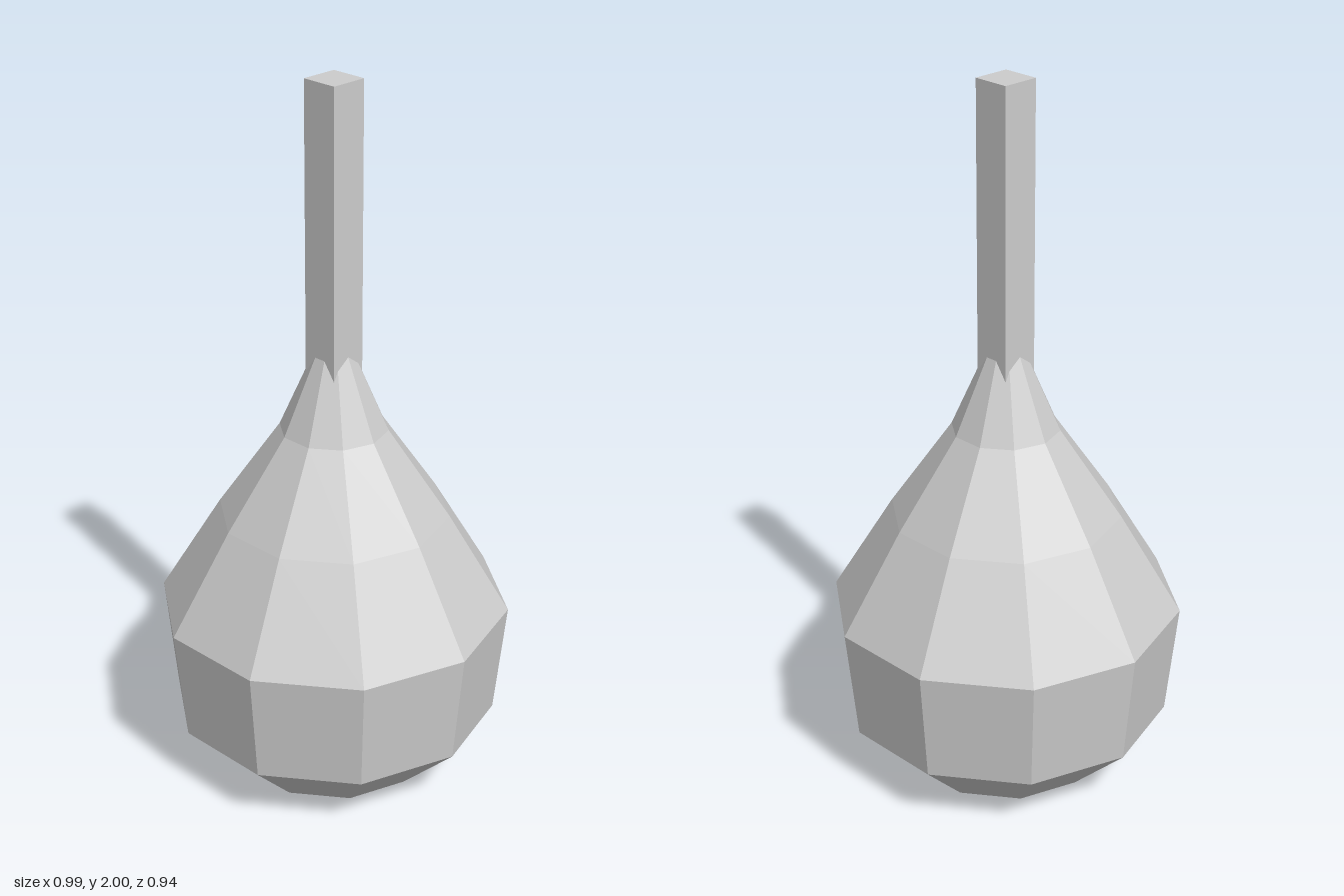
import * as THREE from 'three';

// Facet a geometry so every face keeps its own normal
function faceted(geometry) {
  const flat = geometry.toNonIndexed();
  flat.computeVertexNormals();
  return flat;
}

export function createModel() {
  const group = new THREE.Group();
  group.name = 'longNeckedBulb';
  const grey = new THREE.MeshStandardMaterial({ color: 0xcccccc });
  grey.name = 'light grey';

  // Ten-sided bulb: flat base, steep sides, tapering shoulder and collar
  const profile = [
    [0, 0], [0.28, 0], [0.46, 0.175], [0.493, 0.497],
    [0.322, 0.78], [0.15, 1.03], [0, 1.375],
  ].map(([r, y]) => new THREE.Vector2(r, y));
  const bulb = new THREE.Mesh(
    faceted(new THREE.LatheGeometry(profile, 10, Math.PI / 2)), grey);
  bulb.name = 'bulb';
  group.add(bulb);

  // Square neck rising out of the bulb
  const neck = new THREE.Mesh(new THREE.BoxGeometry(0.107, 0.9, 0.107), grey);
  neck.name = 'neck';
  neck.position.y = 1.55;
  group.add(neck);

  return group;
}
